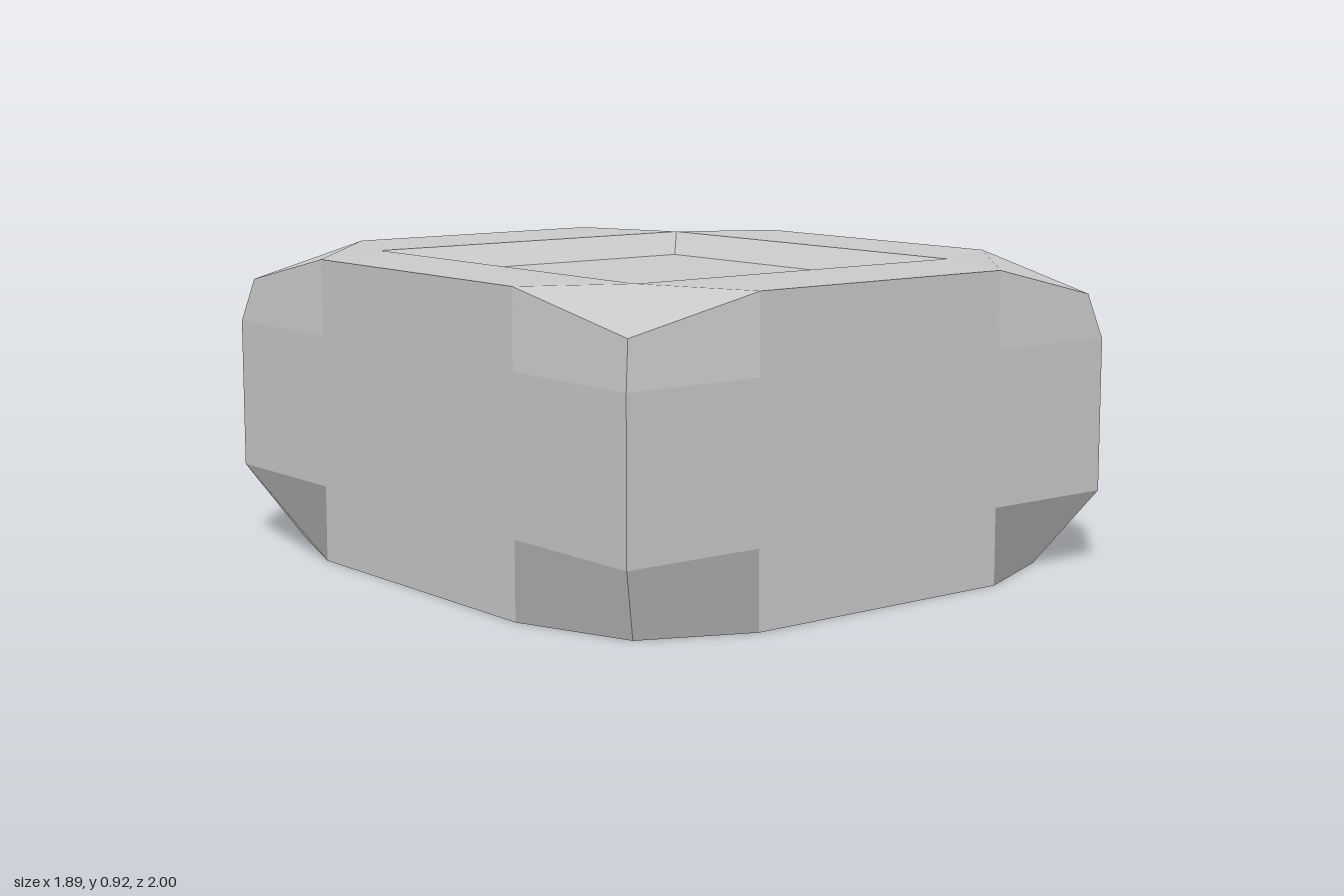
import * as THREE from 'three';

// Collects four-cornered faces (counter-clockwise from outside), one flat normal each
class Faces {
  constructor() { this.pos = []; this.nor = []; }

  quad(a, b, c, d) {
    const v = [a, b, c, d].map(p => new THREE.Vector3(...p));
    const n = v[2].clone().sub(v[0]).cross(v[3].clone().sub(v[1])).normalize();
    for (const i of [0, 1, 2, 0, 2, 3]) {
      this.pos.push(...v[i].toArray());
      this.nor.push(...n.toArray());
    }
  }

  // Four slanted sides from one ring to the next, closed by a cap
  loft(ring, cap) {
    for (let i = 0; i < 4; i++) {
      const j = (i + 1) % 4;
      this.quad(ring[i], ring[j], cap[j], cap[i]);
    }
    this.quad(...cap);
  }

  mesh(name, material) {
    const g = new THREE.BufferGeometry();
    g.setAttribute('position', new THREE.Float32BufferAttribute(this.pos, 3));
    g.setAttribute('normal', new THREE.Float32BufferAttribute(this.nor, 3));
    const m = new THREE.Mesh(g, material);
    m.name = name;
    return m;
  }
}

// Grid lines that divide every side of the body into 3 x 3 cells
const X = [-0.945, -0.5, 0.4, 0.84];
const Y = [0, 0.23, 0.69, 0.92];
const Z = [-1, -0.5, 0.5, 1];
const isEnd = i => i === 0 || i === 3;

// A grid point; the eight outer corners are pulled inward
function gridPoint(i, j, k) {
  const p = [X[i], Y[j], Z[k]];
  if (isEnd(i) && isEnd(j) && isEnd(k)) {
    const top = j === 3;
    p[0] += (i === 0 ? 1 : -1) * (top ? 0.03 : 0.127);
    p[2] += (k === 0 ? 1 : -1) * (top ? 0.032 : 0.14);
    if (top) p[1] = 0.823;
  }
  return p;
}

// Rectangle ring lying flat, counter-clockwise from above
const flatRing = (x0, x1, z, y) => [[x0, y, z], [x1, y, z], [x1, y, -z], [x0, y, -z]];

function makeBody(material) {
  const f = new Faces();
  const rim = flatRing(-0.645, 0.535, 0.65, 0.92);
  const floor = flatRing(-0.58, 0.472, 0.58, 0.85);
  // The inner four points of the top are the corners of the recess
  const topPoint = (i, k) => isEnd(i) || isEnd(k) ? gridPoint(i, 3, k)
    : [rim[i - 1][0], 0.92, k === 2 ? 0.65 : -0.65];
  // Walls: front, right, back, left, each walked from its left edge
  const walls = [
    (u, j) => gridPoint(u, j, 3),
    (u, j) => gridPoint(3, j, 3 - u),
    (u, j) => gridPoint(3 - u, j, 0),
    (u, j) => gridPoint(0, j, u),
  ];
  for (let u = 0; u < 3; u++) {
    for (let v = 0; v < 3; v++) {
      for (const w of walls) f.quad(w(u, v + 1), w(u, v), w(u + 1, v), w(u + 1, v + 1));
      // Underside
      f.quad(gridPoint(u, 0, v), gridPoint(u + 1, 0, v), gridPoint(u + 1, 0, v + 1), gridPoint(u, 0, v + 1));
      // Top frame around the recess
      if (u !== 1 || v !== 1) {
        f.quad(topPoint(u, v + 1), topPoint(u + 1, v + 1), topPoint(u + 1, v), topPoint(u, v));
      }
    }
  }
  f.loft(rim, floor);
  return f.mesh('body', material);
}

// Tapered block standing out from the side wall; rings are [z, y] corners
function sideBlock(name, base, outer, reach, material) {
  const f = new Faces();
  f.loft(base.map(([z, y]) => [0.84, y, z]), outer.map(([z, y]) => [reach, y, z]));
  return f.mesh(name, material);
}

export function createModel() {
  const group = new THREE.Group();
  group.name = 'case';
  const grey = new THREE.MeshStandardMaterial({ color: 0xcccccc });

  group.add(makeBody(grey));

  group.add(sideBlock('frontBracket',
    [[0.578, 0.23], [0.36, 0.23], [0.36, 0.69], [0.555, 0.69]],
    [[0.55, 0.28], [0.387, 0.28], [0.39, 0.64], [0.537, 0.64]], 0.945, grey));
  group.add(sideBlock('backBracket',
    [[-0.435, 0.23], [-0.655, 0.23], [-0.59, 0.69], [-0.385, 0.69]],
    [[-0.463, 0.285], [-0.62, 0.285], [-0.572, 0.637], [-0.415, 0.637]], 0.945, grey));

  // Carrying bar between the brackets
  group.add(sideBlock('handle',
    [[0.325, 0.605], [-0.36, 0.605], [-0.36, 0.675], [0.325, 0.675]],
    [[0.265, 0.608], [-0.298, 0.608], [-0.298, 0.67], [0.265, 0.67]], 0.928, grey));

  return group;
}
